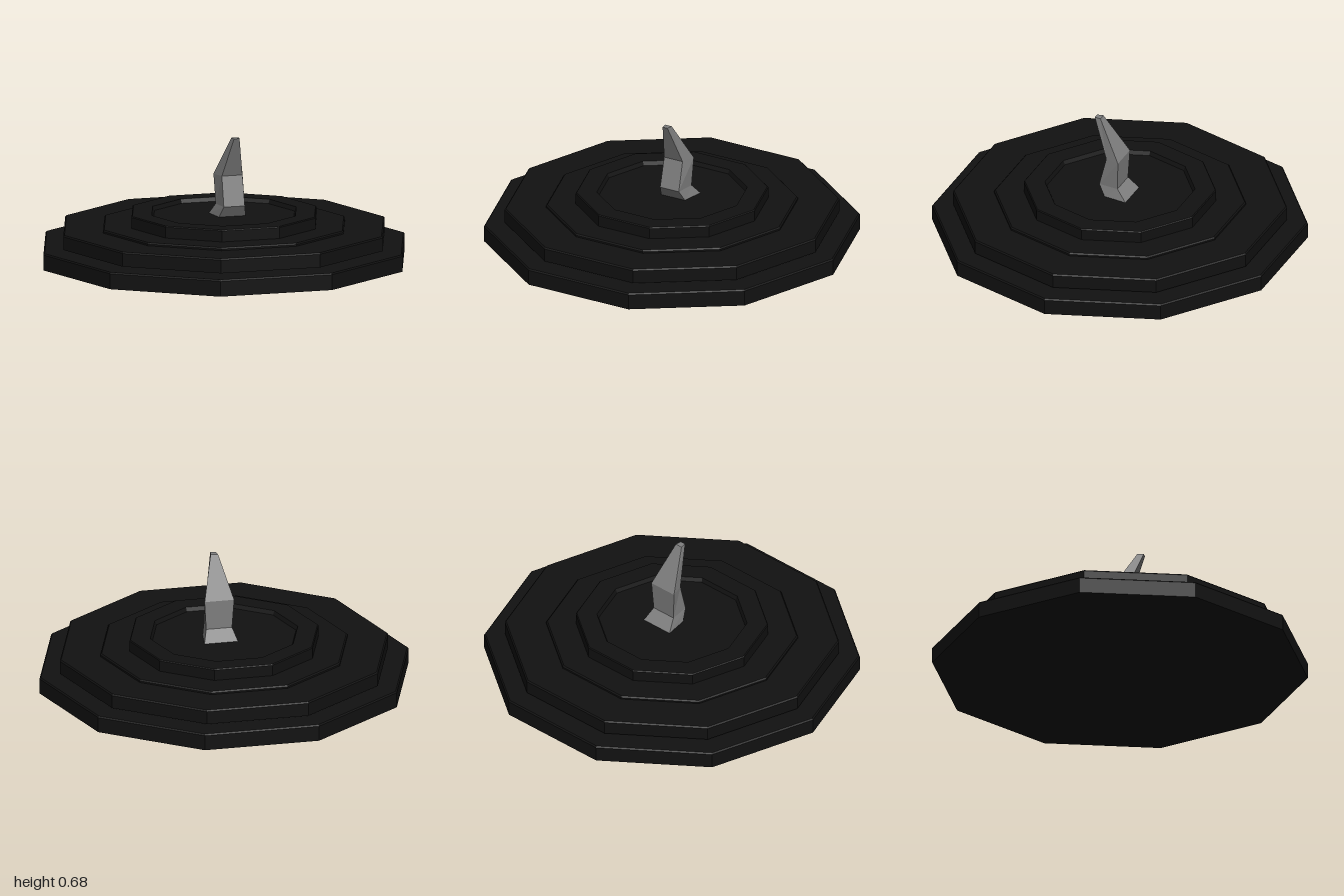
import * as THREE from 'three';

const black = new THREE.MeshStandardMaterial({ color: 0x111111, flatShading: true });
const grey = new THREE.MeshStandardMaterial({ color: 0x808080, flatShading: true });

// Ten-sided solid turned from a [radius, height] profile, with a corner on the x axis
function tier(name, profile) {
  const points = profile.map(([r, y]) => new THREE.Vector2(r, y));
  const geometry = new THREE.LatheGeometry(points, 10).rotateY(Math.PI / 2);
  const mesh = new THREE.Mesh(geometry, black);
  mesh.name = name;
  return mesh;
}

// Plain slab with a slightly bevelled top edge
function slab(name, radius, bottom, top) {
  const b = 0.007;
  return tier(name, [[0, bottom], [radius, bottom], [radius, top - b], [radius - b, top], [0, top]]);
}

// Bent fin lofted through four-cornered sections, wide at the back and narrow in front
function createFin() {
  const cx = 0.033;
  // [y, front z, back z, front half width, back half width]
  const sections = [
    [0.235, 0.04, -0.09, 0.075, 0.093],
    [0.30, 0.08, -0.03, 0.058, 0.07],
    [0.46, 0.04, -0.037, 0.057, 0.08],
    [0.675, 0.125, 0.09, 0.015, 0.02],
  ];
  const positions = [];
  for (const [y, zf, zb, wf, wb] of sections) {
    positions.push(cx - wf, y, zf, cx + wf, y, zf, cx + wb, y, zb, cx - wb, y, zb);
  }
  const index = [0, 2, 1, 0, 3, 2]; // bottom cap
  for (let s = 0; s < sections.length - 1; s++) {
    for (let i = 0; i < 4; i++) {
      const a = s * 4 + i;
      const b = s * 4 + ((i + 1) % 4);
      index.push(a, b, b + 4, a, b + 4, a + 4);
    }
  }
  const t = (sections.length - 1) * 4;
  index.push(t, t + 1, t + 2, t, t + 2, t + 3); // top cap
  const geometry = new THREE.BufferGeometry();
  geometry.setAttribute('position', new THREE.Float32BufferAttribute(positions, 3));
  geometry.setIndex(index);
  geometry.computeVertexNormals();
  const mesh = new THREE.Mesh(geometry, grey);
  mesh.name = 'fin';
  return mesh;
}

export function createModel() {
  const model = new THREE.Group();
  model.name = 'steppedPedestal';
  model.add(
    slab('basePlate', 1, 0, 0.09),
    slab('middlePlate', 0.89, 0.104, 0.182),
    slab('thinStep', 0.67, 0.175, 0.198),
    // Top step with a shallow recess inside its rim
    tier('topStep', [
      [0, 0.19], [0.512, 0.19], [0.512, 0.257], [0.507, 0.262],
      [0.4, 0.262], [0.39, 0.24], [0, 0.24],
    ]),
    createFin(),
  );
  return model;
}
